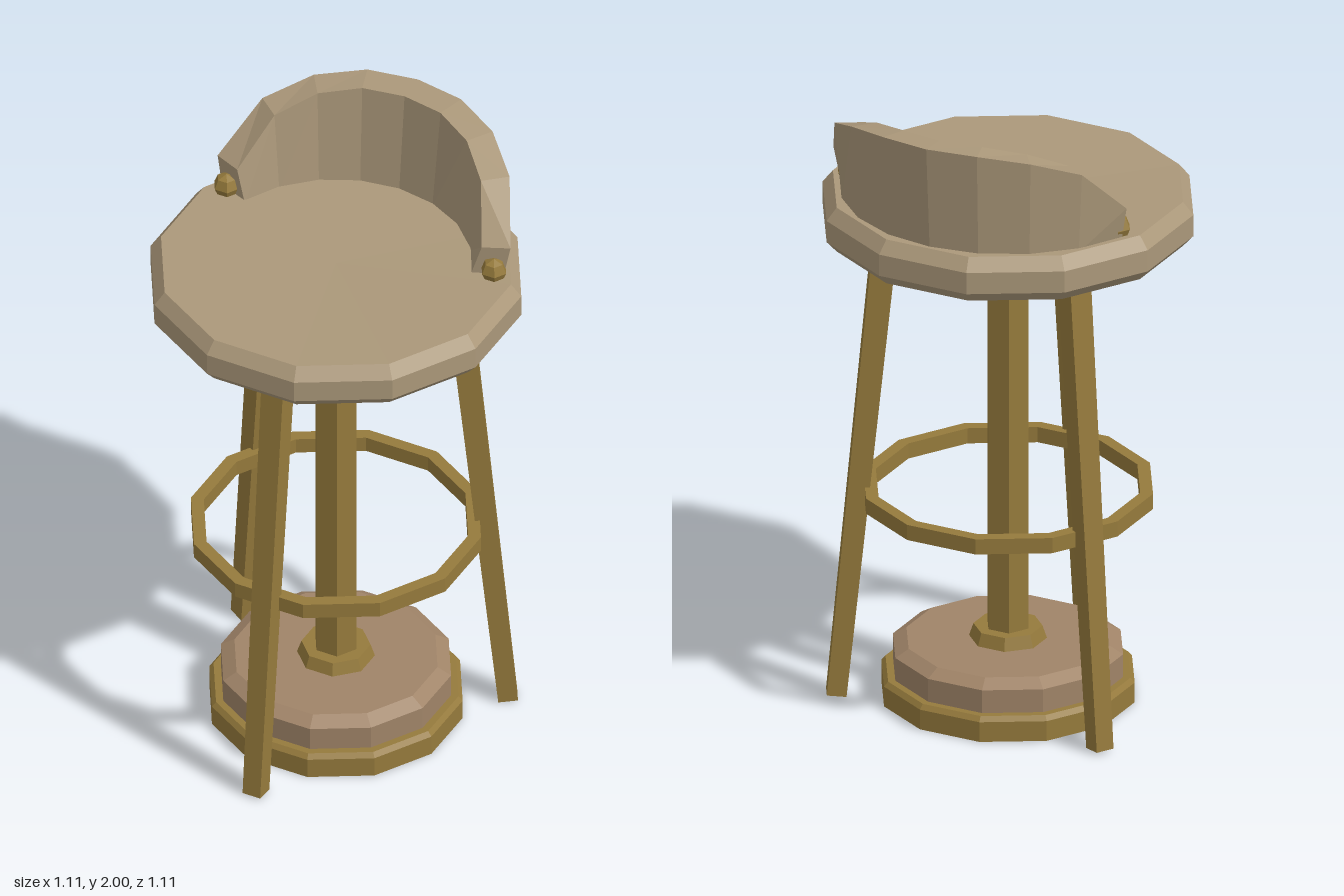
import * as THREE from 'three';

const mat = (color) => new THREE.MeshStandardMaterial({ color, flatShading: true });

export function createModel() {
  const model = new THREE.Group();
  const fabric = mat(0xab987a);
  const brass = mat(0x957a3c);
  const wood = mat(0xa08468);

  const add = (name, geometry, material, parent = model) => {
    const mesh = new THREE.Mesh(geometry, material);
    mesh.name = name;
    parent.add(mesh);
    return mesh;
  };
  // faceted turned part from [radius, height] pairs, bottom to top
  const turned = (profile, sides, start = Math.PI / sides) =>
    new THREE.LatheGeometry(profile.map(([r, y]) => new THREE.Vector2(r, y)), sides, start);

  // pedestal: stepped base, collar and column
  add('baseLower', turned([[0, 0], [0.393, 0], [0.393, 0.065], [0.38, 0.08], [0, 0.08]], 12), brass);
  add('baseUpper', turned([[0, 0.08], [0.357, 0.08], [0.357, 0.155], [0.315, 0.18], [0, 0.18]], 12), wood);
  add('collar', turned([[0, 0.175], [0.12, 0.175], [0.105, 0.22], [0, 0.22]], 8), brass);
  add('column', turned([[0, 0.2], [0.07, 0.2], [0.07, 1.54], [0, 1.54]], 6), brass);

  // footrest ring, closed rectangular section
  add('footrestRing', turned(
    [[0.41, 0.645], [0.45, 0.645], [0.45, 0.695], [0.41, 0.695], [0.41, 0.645]], 12), brass);

  // three splayed, tapered square legs
  const legLength = 1.542;
  const legShape = turned([[0, 0], [0.0424, 0], [0.053, legLength], [0, legLength]], 4);
  for (let i = 0; i < 3; i++) {
    const pivot = new THREE.Group();
    pivot.name = 'legPivot' + (i + 1);
    pivot.rotation.y = (i * Math.PI * 2) / 3;
    model.add(pivot);
    const leg = add('leg' + (i + 1), legShape, brass, pivot);
    leg.position.set(0, 0.004, 0.52);
    leg.rotation.x = -Math.atan2(0.15, 1.535);
  }

  // bevelled seat with a slightly dished top
  add('seat', turned(
    [[0, 1.525], [0.543, 1.525], [0.575, 1.56], [0.575, 1.63], [0.543, 1.67], [0, 1.66]], 12), fabric);

  add('backrest', backrestGeometry(), fabric);

  // knobs at the backrest ends
  for (const side of [1, -1]) {
    const knob = add(side > 0 ? 'leftKnob' : 'rightKnob', new THREE.SphereGeometry(0.042, 6, 4), brass);
    knob.position.set(side * 0.457, 1.69, -0.157);
  }
  return model;
}

// curved shell swept around the rear of the seat, lowest at its ends
function backrestGeometry() {
  const rise = [1.77, 1.92, 1.975, 1.998, 2.0];
  const segments = 8;
  const positions = [];
  const index = [];
  for (let i = 0; i <= segments; i++) {
    const a = THREE.MathUtils.degToRad(20 + 17.5 * i);
    const top = rise[Math.min(i, segments - i)];
    const section = [[0.51, 1.655], [0.533, top], [0.445, top - 0.005], [0.41, 1.655]];
    for (const [r, y] of section) positions.push(Math.cos(a) * r, y, -Math.sin(a) * r);
  }
  for (let i = 0; i < segments; i++) {
    for (let k = 0; k < 4; k++) {
      const p = i * 4 + k, q = i * 4 + ((k + 1) % 4);
      index.push(p, p + 4, q + 4, p, q + 4, q);
    }
  }
  const e = segments * 4;
  index.push(0, 1, 2, 0, 2, 3, e, e + 2, e + 1, e, e + 3, e + 2);
  const g = new THREE.BufferGeometry();
  g.setAttribute('position', new THREE.Float32BufferAttribute(positions, 3));
  g.setIndex(index);
  g.computeVertexNormals();
  return g;
}
